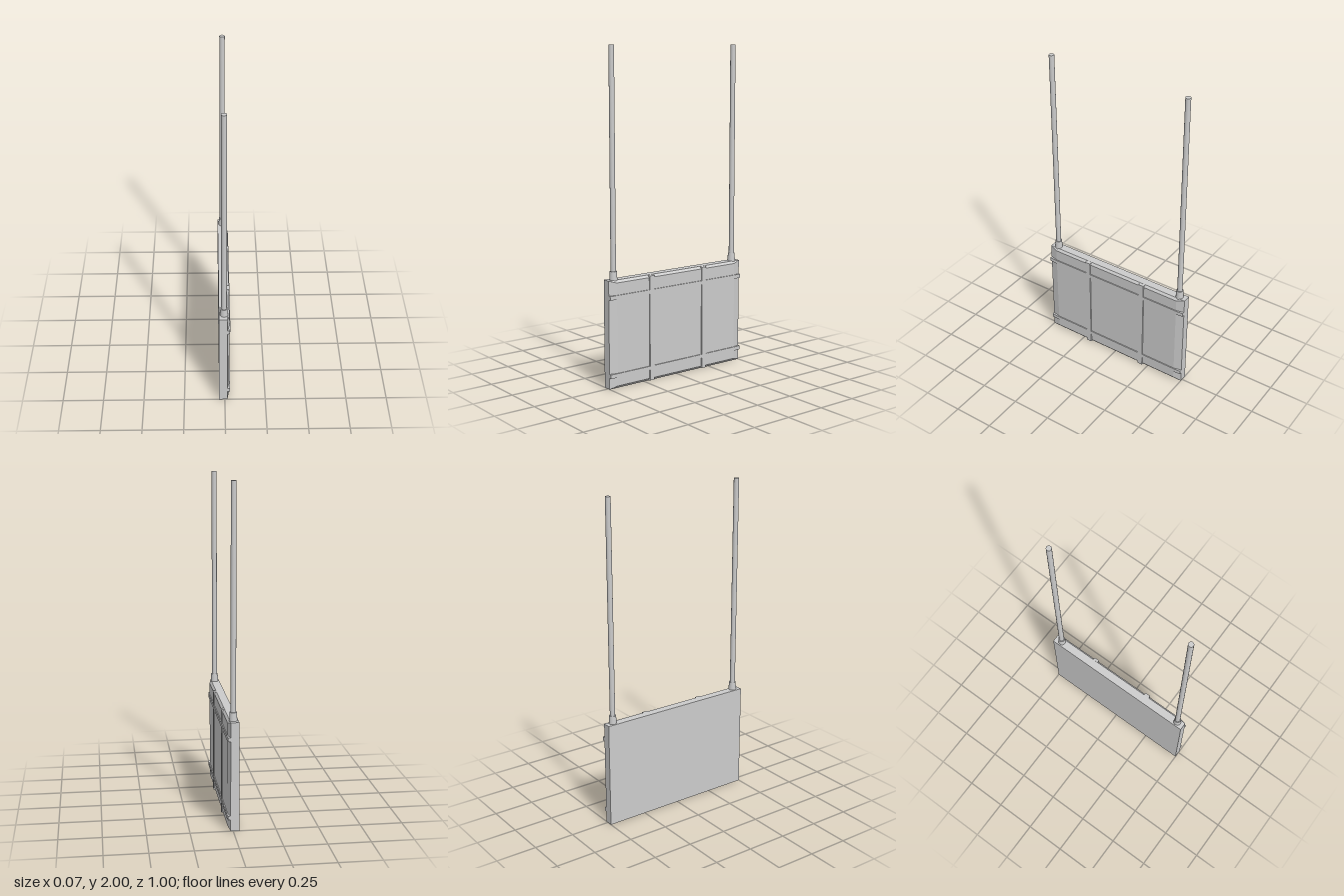
import * as THREE from 'three';

const material = new THREE.MeshStandardMaterial({ color: 0xcccccc, flatShading: true });
const smooth = new THREE.MeshStandardMaterial({ color: 0xcccccc });

const HEIGHT = 0.65;

// Block from x0 to x1 whose +x face is shrunk by an inset along y and z
function taperedBlock(name, x0, x1, height, depth, insetY, insetZ) {
  const geo = new THREE.BoxGeometry(x1 - x0, height, depth);
  const p = geo.attributes.position;
  for (let i = 0; i < p.count; i++) {
    if (p.getX(i) > 0) {
      p.setY(i, p.getY(i) - Math.sign(p.getY(i)) * insetY);
      p.setZ(i, p.getZ(i) - Math.sign(p.getZ(i)) * insetZ);
    }
  }
  geo.computeVertexNormals();
  const mesh = new THREE.Mesh(geo, material);
  mesh.name = name;
  mesh.position.set((x0 + x1) / 2, height / 2, 0);
  return mesh;
}

// Long horizontal rib with chamfered ends, cut from a plan outline
function horizontalRib(y, width) {
  const outline = new THREE.Shape([
    [0.01, -0.5], [0.03, -0.5], [0.033, -0.465],
    [0.033, 0.465], [0.03, 0.5], [0.01, 0.5],
  ].map(([x, z]) => new THREE.Vector2(x, z)));
  const geo = new THREE.ExtrudeGeometry(outline, { depth: width, bevelEnabled: false });
  geo.rotateX(-Math.PI / 2);
  const mesh = new THREE.Mesh(geo, material);
  mesh.name = 'horizontalRib';
  mesh.position.y = y - width / 2;
  return mesh;
}

function cylinder(name, rTop, rBottom, y0, y1) {
  const mesh = new THREE.Mesh(new THREE.CylinderGeometry(rTop, rBottom, y1 - y0, 16), smooth);
  mesh.name = name;
  mesh.position.y = (y0 + y1) / 2;
  return mesh;
}

export function createModel() {
  const model = new THREE.Group();
  model.name = 'panelWithPoles';

  // Flat slab and the raised panel with sloping borders
  model.add(taperedBlock('slab', -0.035, 0.015, HEIGHT, 1, 0, 0));
  model.add(taperedBlock('raisedPanel', 0.015, 0.027, HEIGHT, 1, 0.015, 0.05));

  // Grid of ribs on the raised side
  for (const z of [-0.2, 0.2]) {
    const rib = taperedBlock('verticalRib', 0.012, 0.033, HEIGHT, 0.04, 0.004, 0.004);
    rib.position.z = z;
    model.add(rib);
  }
  for (const y of [0.08, 0.55]) model.add(horizontalRib(y, 0.024));

  // Poles standing in sleeves on the top edge
  for (const z of [-0.453, 0.453]) {
    const pole = new THREE.Group();
    pole.name = z > 0 ? 'frontPole' : 'backPole';
    pole.add(cylinder('sleeve', 0.021, 0.024, HEIGHT - 0.005, 0.7));
    pole.add(cylinder('rod', 0.016, 0.016, 0.69, 2));
    pole.position.set(-0.005, 0, z);
    model.add(pole);
  }
  return model;
}
